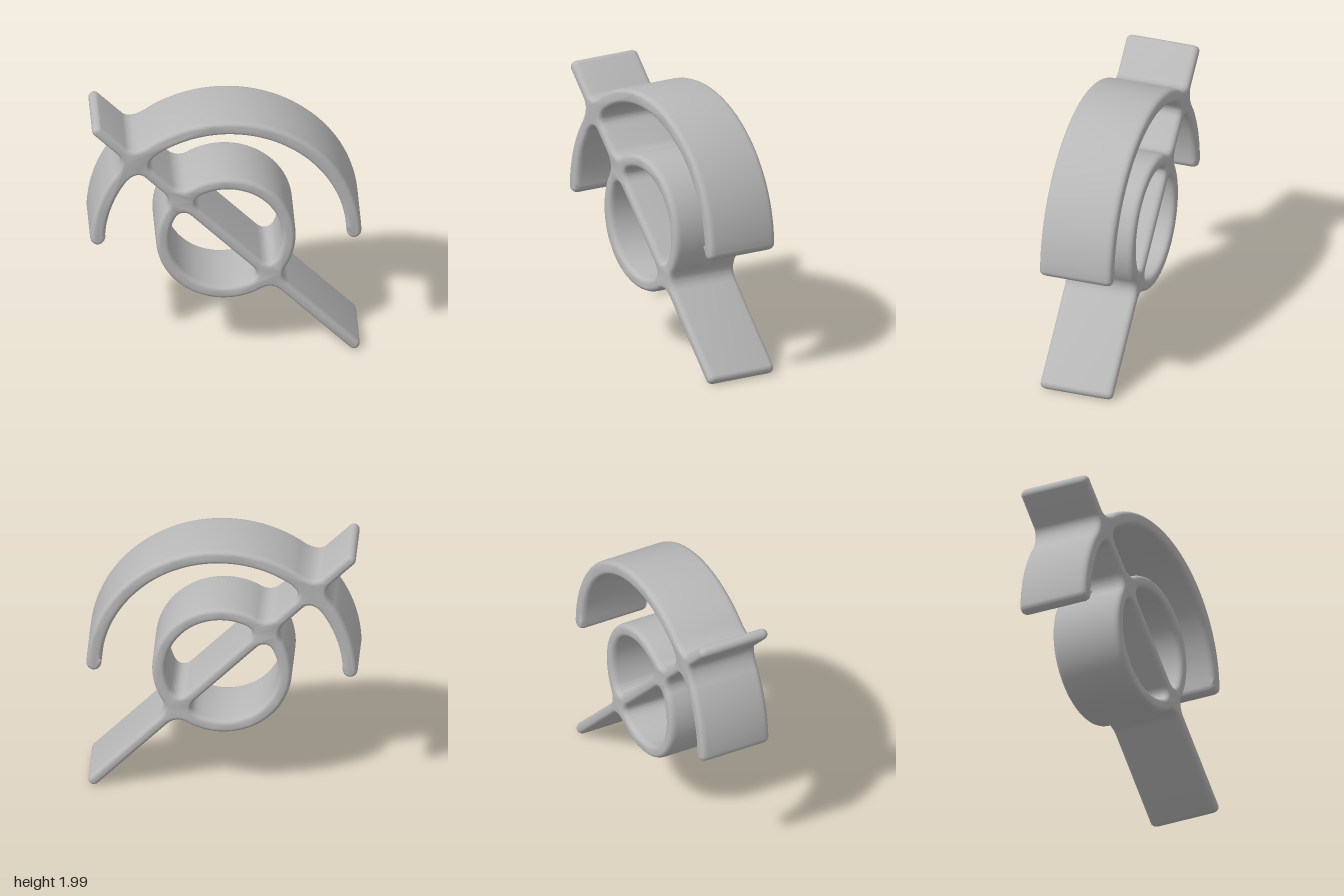
import * as THREE from 'three';
import { toCreasedNormals } from 'three/addons/utils/BufferGeometryUtils.js';

const CY = 0.99;          // common centre height of ring and arch
const H = 0.042;          // half thickness of the bar
const TIP = 1.335;        // bar end cap centre, measured along the bar
const RING = { inner: 0.415, outer: 0.515 };
const ARCH = { inner: 0.89, outer: 1.0 };
const BEVEL = 0.045, DEPTH = 0.56;
const rad = (d) => (d * Math.PI) / 180;

// point at distance s along the diagonal bar, v across it
const onBar = (s, v) => [(s + v) * Math.SQRT1_2, CY + (v - s) * Math.SQRT1_2];
const polar = (r, d) => [r * Math.cos(rad(d)), CY + r * Math.sin(rad(d))];
const arc = (p, r, a, b) => p.absarc(0, CY, r, rad(a), rad(b), b < a);
const cap = (p, c, r, a) => p.absarc(c[0], c[1], r, rad(a), rad(a + 180), false);
// soft fillet where the bar meets a circle of radius r
const fillet = (p, r, end, side, to) =>
  p.quadraticCurveTo(...onBar(end * Math.sqrt(r * r - H * H), side * H), ...to);

function outline() {
  const p = new THREE.Shape();
  const mid = (ARCH.inner + ARCH.outer) / 2, half = (ARCH.outer - ARCH.inner) / 2;
  // lower bar end
  p.moveTo(...onBar(0.62, -H));
  cap(p, onBar(TIP, 0), H, -135);
  p.lineTo(...onBar(0.62, H));
  // upper side of the ring
  fillet(p, RING.outer, 1, 1, polar(RING.outer, -29));
  arc(p, RING.outer, -29, 119);
  fillet(p, RING.outer, -1, 1, onBar(-0.62, H));
  p.lineTo(...onBar(-0.8, H));
  // long arm of the arch
  fillet(p, ARCH.inner, -1, 1, polar(ARCH.inner, 124));
  arc(p, ARCH.inner, 124, 1.7);
  cap(p, polar(mid, 1.7), half, 180);
  arc(p, ARCH.outer, 1.7, 123);
  fillet(p, ARCH.outer, -1, 1, onBar(-1.09, H));
  // upper bar end
  cap(p, onBar(-TIP, 0), H, 45);
  p.lineTo(...onBar(-1.09, -H));
  // short arm of the arch
  fillet(p, ARCH.outer, -1, -1, polar(ARCH.outer, 147));
  arc(p, ARCH.outer, 147, 178.3);
  cap(p, polar(mid, 178.3), half, 180);
  arc(p, ARCH.inner, 178.3, 146);
  fillet(p, ARCH.inner, -1, -1, onBar(-0.8, -H));
  p.lineTo(...onBar(-0.62, -H));
  // lower side of the ring
  fillet(p, RING.outer, -1, -1, polar(RING.outer, 151));
  arc(p, RING.outer, 151, 299);
  fillet(p, RING.outer, 1, -1, onBar(0.62, -H));
  return p;
}

// half-round opening on one side of the bar (side 1 = upper, -1 = lower)
function opening(side) {
  const p = new THREE.Path(), r = RING.inner;
  const a = -45 + side * 19, b = -45 + side * 161;
  p.moveTo(...onBar(0.31, side * H));
  fillet(p, r, 1, side, polar(r, a));
  arc(p, r, a, b);
  fillet(p, r, -1, side, onBar(-0.31, side * H));
  p.lineTo(...onBar(0.31, side * H));
  return p;
}

export function createModel() {
  const grey = new THREE.MeshStandardMaterial({ color: 0xb8b8b8 });
  grey.name = 'grey';

  // ring, arch and diagonal bar blend into one rounded extrusion
  const shape = outline();
  shape.holes.push(opening(1), opening(-1));
  const geometry = new THREE.ExtrudeGeometry(shape, {
    depth: DEPTH - 2 * BEVEL,
    curveSegments: 18,
    bevelEnabled: true,
    bevelThickness: BEVEL,
    bevelSize: 0.03,
    bevelOffset: -0.03,
    bevelSegments: 4,
  });
  geometry.translate(0, 0, BEVEL - DEPTH / 2);

  const body = new THREE.Mesh(toCreasedNormals(geometry, 0.9), grey);
  body.name = 'ringArchAndBar';
  const model = new THREE.Group();
  model.name = 'emblem';
  model.add(body);
  return model;
}
